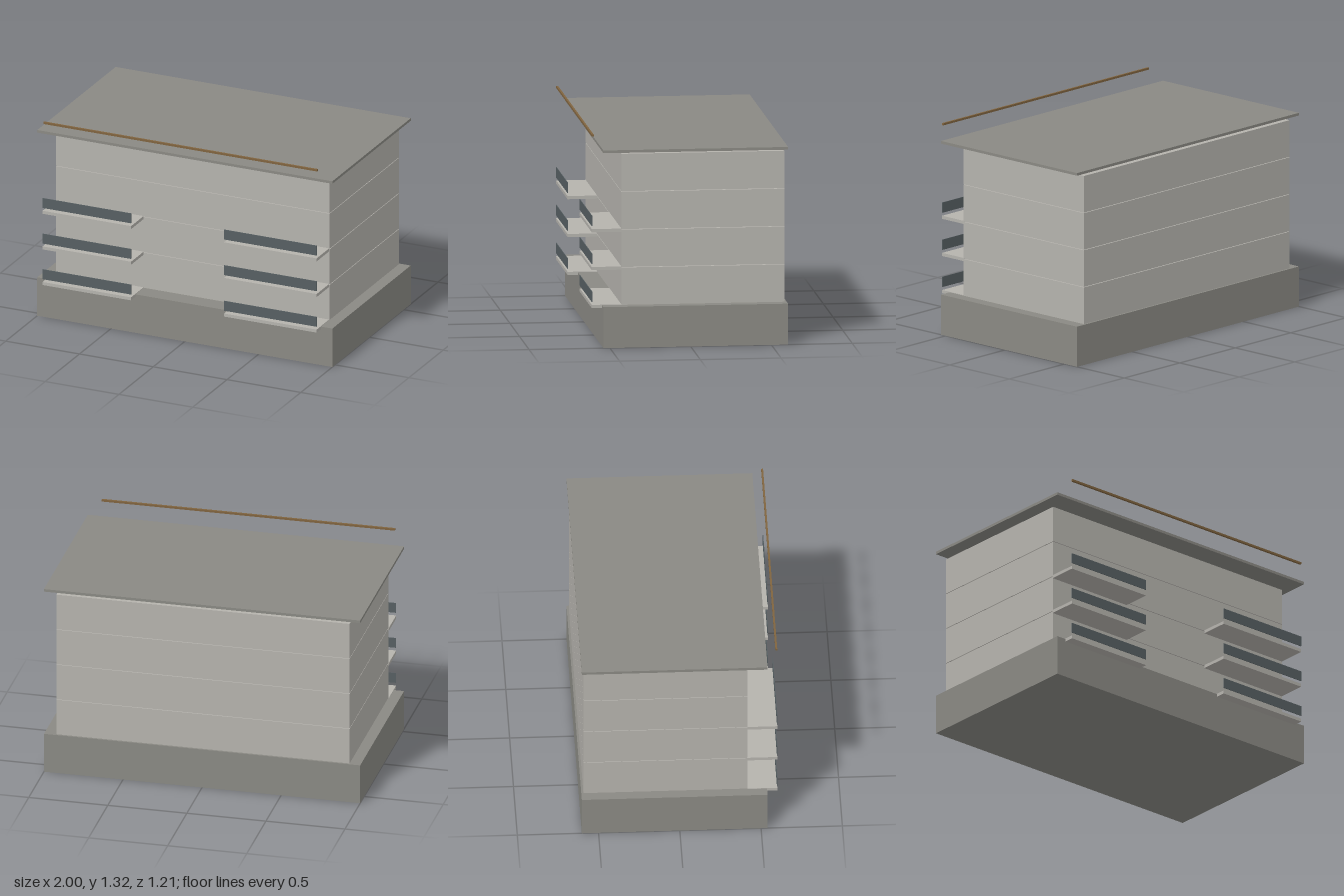
import * as THREE from 'three';

export function createModel() {
  const model = new THREE.Group();
  model.name = 'apartmentBlock';

  const material = (name, color) => {
    const m = new THREE.MeshStandardMaterial({ color });
    m.name = name;
    return m;
  };
  const wall = material('paleConcrete', 0xb5b3ad);
  const stone = material('darkConcrete', 0x8a8983);
  const glass = material('smokedGlass', 0x565f62);
  const timber = material('timber', 0x80643f);

  // Box given by its lower and upper limits on each axis
  const block = (name, mat, [x0, x1], [y0, y1], [z0, z1], parent = model) => {
    const mesh = new THREE.Mesh(new THREE.BoxGeometry(x1 - x0, y1 - y0, z1 - z0), mat);
    mesh.position.set((x0 + x1) / 2, (y0 + y1) / 2, (z0 + z1) / 2);
    mesh.name = name;
    parent.add(mesh);
  };

  const pitch = 0.236;
  const baseTop = 0.255;

  // Plinth and overhanging roof slab share one footprint
  block('plinth', stone, [-1, 1], [0, baseTop], [-0.603, 0.54]);
  block('roofSlab', stone, [-1, 1], [1.214, 1.231], [-0.603, 0.54]);

  // Four storeys separated by thin shadow gaps
  for (let i = 0; i < 4; i++) {
    const y = baseTop + i * pitch;
    block(`storey${i + 1}`, wall, [-0.93, 0.925], [y, y + 0.2325], [-0.59, 0.42]);
  }

  // Two stacks of balconies, each with a thin glass front panel
  for (const [side, span] of [['right', [-0.935, -0.335]], ['left', [0.295, 0.923]]]) {
    for (let i = 0; i < 3; i++) {
      const balcony = new THREE.Group();
      balcony.name = `${side}Balcony${i + 1}`;
      const y = 0.238 + i * pitch;
      block('balconySlab', wall, span, [y, y + 0.02], [0.42, 0.603], balcony);
      block('balconyPanel', glass, span, [y + 0.039, y + 0.104], [0.6, 0.604], balcony);
      model.add(balcony);
    }
  }

  // Long rail hovering above the front roof edge
  block('roofRail', timber, [-0.93, 0.925], [1.306, 1.319], [0.591, 0.603]);

  return model;
}
